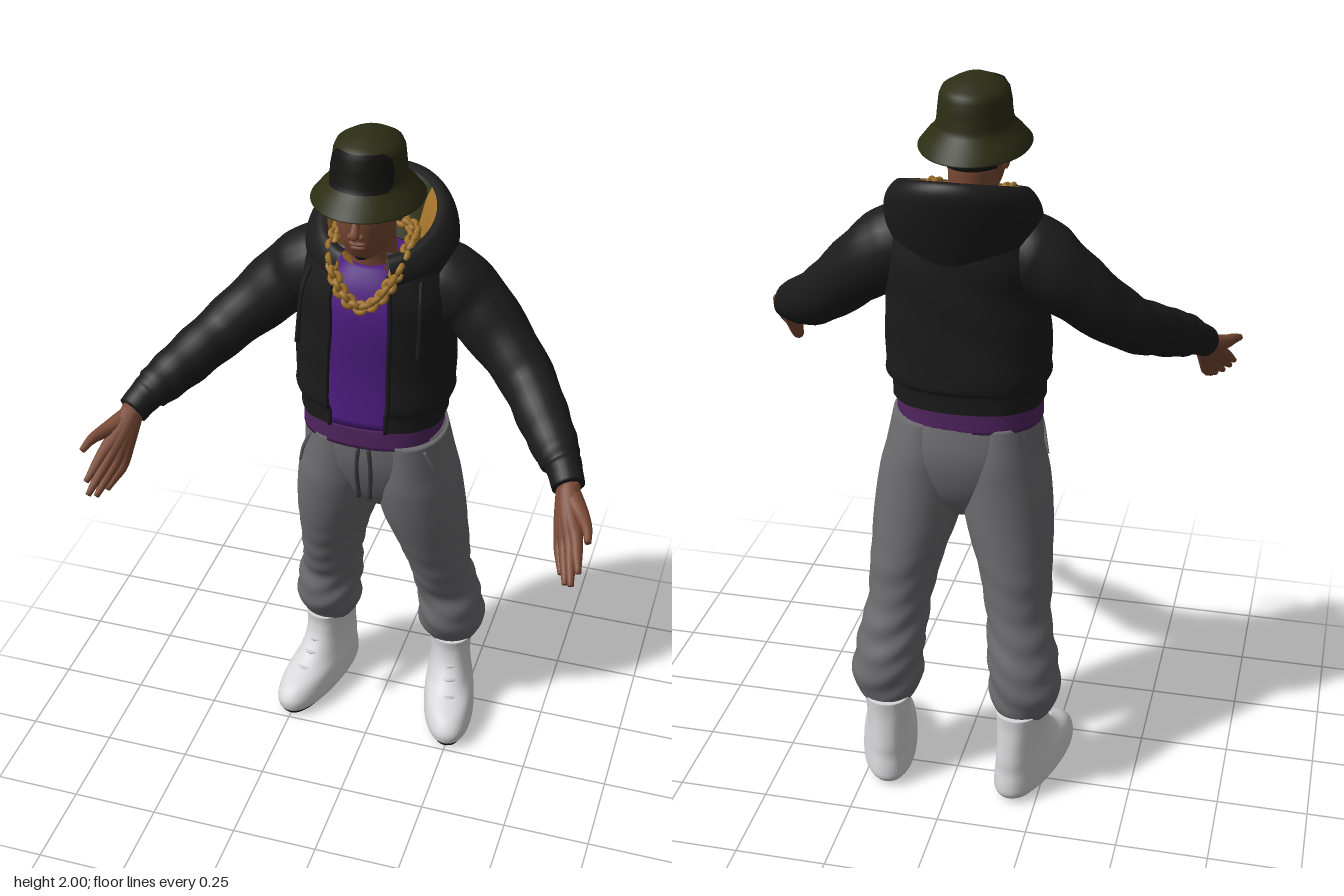
import * as THREE from 'three';

const mat = (name, color, side = THREE.FrontSide) => {
  const m = new THREE.MeshStandardMaterial({ color, side });
  m.name = name;
  return m;
};
const TAU = Math.PI * 2;
const REF = new THREE.Vector3(0, 0.8, 0.6);

// Skin a list of rings; closed rings get end caps
function skin(rings, closed = true) {
  const n = rings[0].length, pos = [], idx = [];
  rings.forEach(r => r.forEach(p => pos.push(p.x, p.y, p.z)));
  const last = rings.length - 1;
  for (let j = 0; j < last; j++)
    for (let i = 0; i < (closed ? n : n - 1); i++) {
      const k = (i + 1) % n, a = j * n + i, b = j * n + k;
      idx.push(a, b, b + n, a, b + n, a + n);
    }
  if (closed) [0, last].forEach(j => {
    const c = rings[j].reduce((s, p) => s.add(p), new THREE.Vector3()).divideScalar(n);
    const ci = pos.length / 3;
    pos.push(c.x, c.y, c.z);
    for (let i = 0; i < n; i++) {
      const a = j * n + i, b = j * n + (i + 1) % n;
      if (j) idx.push(a, b, ci); else idx.push(b, a, ci);
    }
  });
  const g = new THREE.BufferGeometry();
  g.setAttribute('position', new THREE.Float32BufferAttribute(pos, 3));
  g.setIndex(idx);
  g.computeVertexNormals();
  return g;
}

// Smoothly interpolate table rows
function sampler(rows) {
  const curves = rows[0].map((_, k) =>
    new THREE.SplineCurve(rows.map((r, i) => new THREE.Vector2(i, r[k]))));
  return u => curves.map(c => c.getPoint(u).y);
}

// Point on a horizontal section [y, cx, cz, rx, rz, tilt], angle from +z towards +x
function sectionPoint([y, cx, cz, rx, rz, tilt = 0], t, e = 1, k = 1) {
  const p = v => Math.sign(v) * Math.abs(v) ** e;
  const dx = rx * p(Math.sin(t)) * k, dz = rz * p(Math.cos(t)) * k;
  return new THREE.Vector3(cx + dx, y - tilt * dz, cz + dz);
}

function loft(rows, { n = 40, seg = 5, e = 1, from = 0, to = TAU, fold = () => 0 } = {}) {
  const at = sampler(rows), m = (rows.length - 1) * seg, closed = to - from > 6.28, rings = [];
  for (let j = 0; j <= m; j++) {
    const r = at(j / m), ring = [];
    for (let i = 0; i < n; i++) {
      const t = from + (to - from) * i / (closed ? n : n - 1);
      ring.push(sectionPoint(r, t, e, 1 + fold(r[0], t)));
    }
    rings.push(ring);
  }
  return skin(rings, closed);
}

// Tapered tube through [x, y, z, radius]
function tube(pts, { n = 12, m = 16, fold = () => 0 } = {}) {
  const curve = new THREE.CatmullRomCurve3(pts.map(p => new THREE.Vector3(p[0], p[1], p[2])), false, 'catmullrom');
  const at = sampler(pts), rings = [];
  for (let j = 0; j <= m; j++) {
    const u = j / m, T = curve.getTangent(u), r = at(u)[3], c = curve.getPoint(u);
    const N = REF.clone().cross(T).normalize(), B = T.clone().cross(N);
    rings.push(Array.from({ length: n }, (_, i) => {
      const t = i / n * TAU, q = r * (1 + fold(u, t));
      return c.clone().addScaledVector(N, Math.cos(t) * q).addScaledVector(B, Math.sin(t) * q);
    }));
  }
  return skin(rings);
}

export function createModel() {
  const DS = THREE.DoubleSide;
  const M = {
    jacket: mat('jacket black', 0x1b1b1c, DS), shirt: mat('shirt purple', 0x4e1c80), hem: mat('hem plum', 0x50245f),
    pants: mat('pants grey', 0x6c6c6f), cord: mat('cord grey', 0x3a3a3c),
    shoe: mat('shoe white', 0xd6d6d8), hat: mat('hat olive', 0x2b2d14, DS), gold: mat('gold', 0xa0722a, DS),
    skin: mat('skin brown', 0x7a4934), dark: mat('hair and sole dark', 0x141312, DS),
  };
  const root = new THREE.Group();
  const add = (name, geo, material, parent = root) => {
    const mesh = new THREE.Mesh(geo, material);
    mesh.name = name;
    parent.add(mesh);
    return mesh;
  };
  const group = (name, x, y, z) => {
    const g = new THREE.Group();
    g.name = name;
    g.position.set(x, y, z);
    root.add(g);
    return g;
  };

  // Shirt, its plum hem and the open jacket
  const hemTop = [1.155, -0.012, -0.13, 0.196, 0.148];
  add('shirtHem', loft([[1.09, -0.012, -0.13, 0.197, 0.15], hemTop], { e: 0.85 }), M.hem);
  add('shirt', loft([
    hemTop, [1.3, -0.008, -0.13, 0.192, 0.142],
    [1.48, 0, -0.125, 0.185, 0.148], [1.57, 0, -0.125, 0.15, 0.13], [1.635, 0, -0.115, 0.085, 0.085],
  ], { e: 0.85 }), M.shirt);
  const jacketRows = [
    [1.15, -0.012, -0.135, 0.203, 0.155], [1.2, -0.012, -0.135, 0.205, 0.157], [1.225, -0.01, -0.135, 0.22, 0.167],
    [1.35, -0.008, -0.135, 0.217, 0.165], [1.47, 0, -0.132, 0.21, 0.17], [1.56, 0, -0.132, 0.21, 0.17],
    [1.64, 0, -0.135, 0.185, 0.155], [1.69, 0, -0.14, 0.14, 0.125],
  ];
  const gapL = 0.29, gapR = TAU - 0.36;
  add('jacket', loft(jacketRows, {
    n: 64, e: 0.82, from: gapL, to: gapR,
    fold: (y, t) => y > 1.23 ? 0.01 * Math.sin(y * 40 + 3 * Math.sin(2 * t)) : 0.006 * Math.sin(t * 60),
  }), M.jacket);
  [gapL, gapR].forEach(t => add('jacketEdge', tube(jacketRows.slice(0, 7).map(r =>
    [...sectionPoint(r, t, 0.82).toArray(), 0.007]), { n: 8, m: 30 }), M.jacket));

  // Hood hanging behind the neck, with its lining
  const rim = [1.735, 0, -0.15, 0.142, 0.155, 0.33];
  add('hood', loft([
    [1.56, 0, -0.14, 0.175, 0.16, 0], [1.61, 0, -0.148, 0.198, 0.175, 0.1],
    [1.665, 0, -0.155, 0.204, 0.192, 0.24], [1.705, 0, -0.157, 0.193, 0.197, 0.3],
    [1.735, 0, -0.155, 0.167, 0.182, 0.32], rim,
  ], { n: 56, from: 0.4, to: TAU - 0.4 }), M.jacket);
  const lining = [rim, [1.7, 0, -0.148, 0.122, 0.135, 0.3], [1.61, 0, -0.13, 0.095, 0.1, 0.1]];
  [['liningLeft', 0.4, 2.3, M.gold], ['liningBack', 2.3, TAU - 2.3, M.hat], ['liningRight', TAU - 2.3, TAU - 0.4, M.gold]]
    .forEach(([name, from, to, m]) => add(name, loft(lining, { n: 24, from, to }), m));

  // Heavy chain of links
  const half = [[0.045, 1.58, 0.043], [0.082, 1.64, 0.018], [0.1, 1.695, -0.05], [0.085, 1.7, -0.15]];
  const loop = [[0, 1.553, 0.045], ...half, [0, 1.705, -0.185], ...half.map(([x, y, z]) => [-x, y, z]).reverse()];
  const chain = new THREE.CatmullRomCurve3(loop.map(p => new THREE.Vector3(...p)), true);
  const necklace = group('necklace', 0, 0, 0), link = new THREE.TorusGeometry(0.013, 0.0085, 7, 12);
  for (let i = 0; i < 48; i++) {
    const l = add('chainLink', link, M.gold, necklace);
    l.position.copy(chain.getPointAt(i / 48));
    l.lookAt(l.position.clone().add(chain.getTangentAt(i / 48)));
    l.rotateZ(i % 2 ? 0.8 : -0.8);
    l.rotateY(Math.PI / 2);
  }

  // Pants seat, fading into the legs
  add('seat', loft([
    [0.81, 0, -0.16, 0.05, 0.05], [0.87, 0, -0.152, 0.13, 0.108], [0.94, 0, -0.147, 0.19, 0.138],
    [1.02, -0.004, -0.14, 0.208, 0.153], [1.11, -0.008, -0.13, 0.194, 0.147],
  ], { e: 0.88 }), M.pants);

  for (const s of [1, -1]) {
    const side = s > 0 ? 'left' : 'right';
    add(side + 'WaistCord', tube([[s * 0.015, 1.09, 0.02, 0.006], [s * 0.02, 1.02, 0.02, 0.006],
      [s * 0.016, 0.92, 0.012, 0.007]], { n: 6 }), M.cord);
    add(side + 'HoodCord', tube([[s * 0.15, 1.63, 0.0, 0.006], [s * 0.16, 1.57, 0.045, 0.006],
      [s * 0.165, 1.44, 0.075, 0.007]], { n: 6 }), M.jacket);
    add(side + 'Pocket', tube([[s * 0.165, 1.09, -0.012, 0.005], [s * 0.19, 1.03, -0.028, 0.005],
      [s * 0.215, 0.95, -0.07, 0.004]], { n: 6 }), M.pants);

    // Baggy leg gathered at the ankle
    add(side + 'Leg', loft([
      [0.25, s * 0.195, -0.275, 0.07, 0.075], [0.275, s * 0.195, -0.275, 0.085, 0.09], [0.31, s * 0.197, -0.268, 0.098, 0.104],
      [0.37, s * 0.195, -0.262, 0.099, 0.11], [0.45, s * 0.183, -0.255, 0.093, 0.102], [0.55, s * 0.168, -0.222, 0.09, 0.108],
      [0.66, s * 0.154, -0.195, 0.1, 0.125], [0.8, s * 0.129, -0.163, 0.12, 0.142],
      [0.92, s * 0.113, -0.145, 0.122, 0.15], [1.0, s * 0.105, -0.14, 0.11, 0.149], [1.1, s * 0.098, -0.13, 0.097, 0.138],
    ], {
      seg: 7, fold: (y, t) => Math.max(0, 1 - Math.abs(y - 0.42) / 0.36)
        * (0.032 * Math.sin(y * 75 + s * 2.5 * Math.sin(t) + 1.5 * Math.cos(2 * t)) + 0.025 * Math.sin(y * 38 - s * 2 * t)),
    }), M.pants);

    // High-top shoe, toes turned out
    const shoe = group(side + 'Shoe', s * 0.214, 0, -0.197);
    shoe.rotation.y = s * 0.23;
    add('sole', loft([[0.004, 0, 0.005, 0.058, 0.18], [0.02, 0, 0.005, 0.066, 0.19]], { e: 0.85 }), M.dark, shoe);
    add('soleInsert', new THREE.BoxGeometry(0.09, 0.006, 0.14), M.cord, shoe).position.set(0, 0.003, -0.02);
    add('upper', loft([
      [0.014, 0, 0, 0.066, 0.19], [0.03, 0, 0, 0.077, 0.2], [0.06, 0, 0, 0.077, 0.199], [0.095, 0, -0.015, 0.073, 0.178],
      [0.13, 0, -0.055, 0.065, 0.137], [0.18, 0, -0.078, 0.06, 0.108], [0.23, 0, -0.084, 0.063, 0.096],
      [0.27, 0, -0.083, 0.067, 0.097],
    ], { e: 0.88 }), M.shoe, shoe);
    for (let i = 0; i < 4; i++) {
      const z = [0.1, 0.055, 0.027, 0.01][i], y = 0.12 + i * 0.032;
      add('lace', tube([[-0.035, y - 0.008, z - 0.02, 0.006], [0, y, z - 0.002, 0.006], [0.035, y - 0.008, z - 0.02, 0.006]],
        { n: 6, m: 8 }), M.shoe, shoe);
    }

    // Sleeve and cuff
    add(side + 'Sleeve', tube([
      [s * 0.1, 1.58, -0.145, 0.085], [s * 0.18, 1.555, -0.148, 0.108], [s * 0.27, 1.49, -0.145, 0.095],
      [s * 0.41, 1.365, -0.075, 0.077], [s * 0.5, 1.295, 0.04, 0.068], [s * 0.555, 1.255, 0.12, 0.058],
      [s * 0.575, 1.24, 0.145, 0.048], [s * 0.6, 1.212, 0.192, 0.043],
    ], { n: 24, m: 60, fold: (u, t) => (u > 0.3 && u < 0.85 ? 0.025 : 0.01) * Math.sin(u * 60 + 2.5 * Math.sin(t)) }), M.jacket);

    // Hand: every finger starts in the palm
    const hand = group(side + 'Hand', 0, 0, 0);
    [
      ['index', 0.645, 1.135, 0.292, 0.67, 1.082, 0.37], ['middle', 0.633, 1.118, 0.297, 0.657, 1.056, 0.392],
      ['ring', 0.618, 1.103, 0.288, 0.64, 1.046, 0.378], ['little', 0.604, 1.09, 0.275, 0.622, 1.05, 0.345],
    ].forEach(([name, x, y, z, tx, ty, tz]) => add(name + 'Finger', tube([
      [s * 0.597, 1.22, 0.185, 0.03], [s * (x + 0.6) / 2, (y + 1.2) / 2, (z + 0.205) / 2, 0.026],
      [s * x, y, z, 0.018], [s * (x + tx) / 2, (y + ty) / 2, (z + tz) / 2, 0.014], [s * tx, ty, tz, 0.008],
    ], { n: 10 }), M.skin, hand));
    add('thumb', tube([[s * 0.605, 1.2, 0.2, 0.028], [s * 0.645, 1.185, 0.255, 0.021],
      [s * 0.672, 1.178, 0.305, 0.014], [s * 0.684, 1.165, 0.345, 0.009]], { n: 10 }), M.skin, hand);
  }

  // Head and neck
  const head = group('head', -0.012, 0, 0);
  add('neck', loft([[1.59, 0.01, -0.11, 0.075, 0.075], [1.66, 0, -0.1, 0.065, 0.068], [1.78, 0, -0.09, 0.065, 0.08]]), M.skin, head);
  add('skull', loft([
    [1.672, 0, -0.025, 0.028, 0.028], [1.69, 0, -0.04, 0.05, 0.055], [1.73, 0, -0.052, 0.068, 0.085],
    [1.78, 0, -0.06, 0.078, 0.103], [1.83, 0, -0.068, 0.081, 0.112], [1.88, 0, -0.07, 0.078, 0.105],
  ], { e: 0.92 }), M.skin, head);
  add('backHair', loft([[1.77, 0, -0.065, 0.079, 0.108], [1.8, 0, -0.067, 0.083, 0.115], [1.86, 0, -0.07, 0.085, 0.116]],
    { n: 24, from: 2.1, to: TAU - 2.1 }), M.dark, head);
  const blob = (name, m, x, y, z, sx, sy, sz) => {
    const b = add(name, new THREE.SphereGeometry(1, 16, 10), m, head);
    b.position.set(x, y, z);
    b.scale.set(sx, sy, sz);
  };
  add('nose', tube([[0, 1.805, 0.036, 0.008], [0, 1.78, 0.05, 0.011], [0, 1.763, 0.056, 0.014], [0, 1.752, 0.045, 0.011]], { n: 10 }), M.skin, head);
  blob('upperLip', M.skin, 0, 1.732, 0.031, 0.024, 0.007, 0.011);
  blob('lowerLip', M.skin, 0, 1.718, 0.025, 0.021, 0.008, 0.011);
  blob('goatee', M.dark, 0, 1.679, 0, 0.016, 0.01, 0.011);
  for (const s of [1, -1]) {
    blob('nostril', M.skin, s * 0.013, 1.758, 0.045, 0.009, 0.008, 0.01);
    blob('ear', M.skin, s * 0.082, 1.785, -0.075, 0.01, 0.03, 0.018);
    blob('eye', M.dark, s * 0.031, 1.799, 0.034, 0.013, 0.005, 0.005);
    blob('brow', M.dark, s * 0.033, 1.816, 0.036, 0.018, 0.004, 0.006);
  }

  // Bucket hat with a rounded dark front panel
  const hat = group('hat', -0.013, 1.83, -0.073);
  hat.scale.z = 1.24;
  hat.rotation.x = -0.06;
  const lathe = (pts, ...arc) => new THREE.LatheGeometry(pts.map(p => new THREE.Vector2(...p)), ...arc);
  add('crownAndBrim', lathe([
    [0.085, 0.035], [0.12, 0.01], [0.143, -0.014], [0.146, -0.008], [0.125, 0.018], [0.104, 0.04], [0.098, 0.055],
    [0.094, 0.09], [0.09, 0.122], [0.083, 0.138], [0.07, 0.146], [0.055, 0.155], [0.035, 0.165], [0, 0.169],
  ], 48), M.hat, hat);
  const panel = [[0.107, 0.042, 0.8], [0.1015, 0.055, 0.97], [0.0975, 0.09, 1.05], [0.0935, 0.122, 0.97], [0.087, 0.139, 0.75]];
  add('frontPanel', skin(panel.map(([r, y, a]) => Array.from({ length: 21 }, (_, i) => {
    const t = a * (i / 10 - 1);
    return new THREE.Vector3(r * Math.sin(t), y, r * Math.cos(t));
  })), false), M.dark, hat);

  return root;
}
